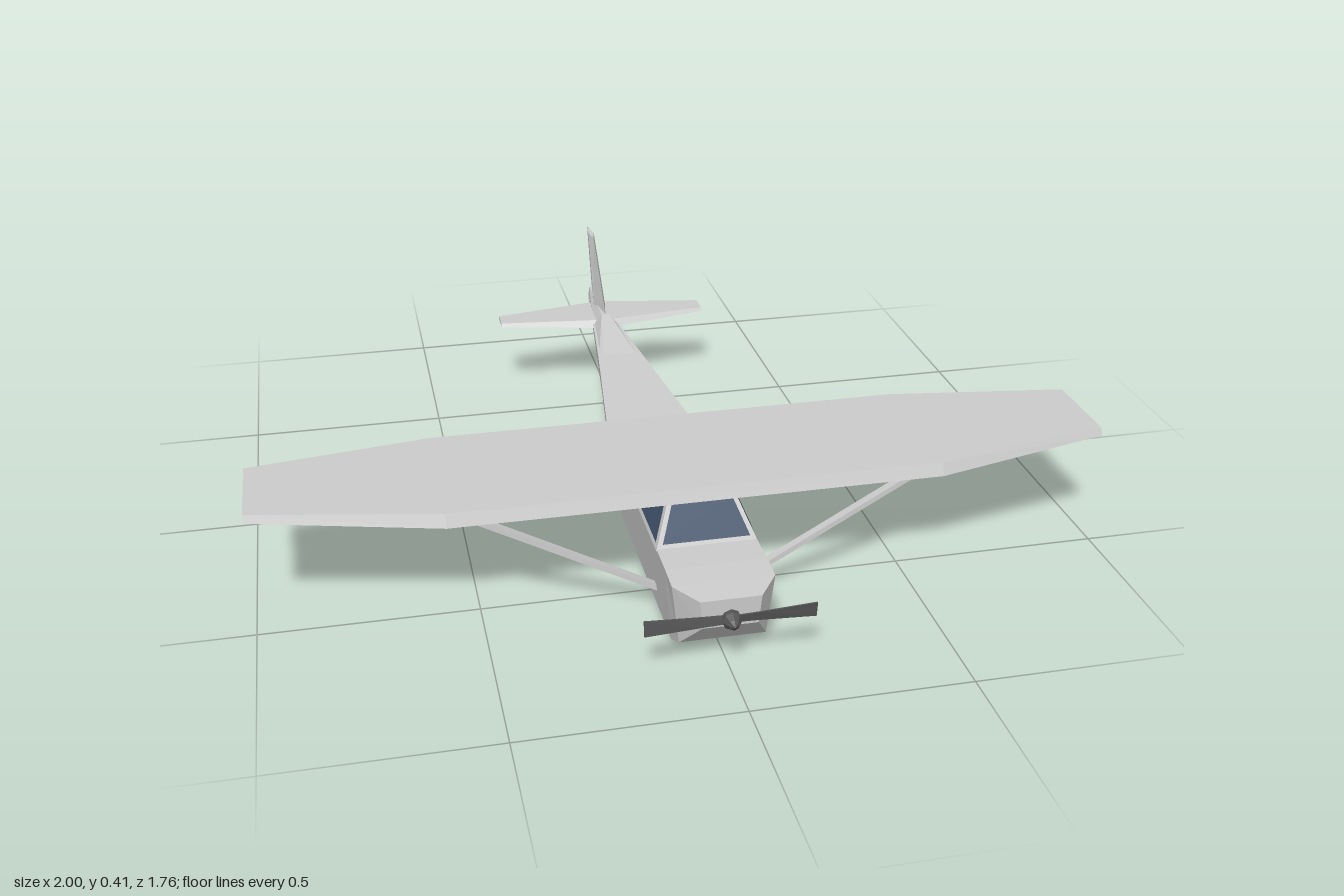
import * as THREE from 'three';

const grey = new THREE.MeshStandardMaterial({ color: 0xcccccc, flatShading: true });
const dark = new THREE.MeshStandardMaterial({ color: 0x555555, flatShading: true });
const glass = new THREE.MeshStandardMaterial({ color: 0x40526a, flatShading: true, side: THREE.DoubleSide });

function makeMesh(name, pos, material) {
  const g = new THREE.BufferGeometry();
  g.setAttribute('position', new THREE.Float32BufferAttribute(pos, 3));
  g.computeVertexNormals();
  const m = new THREE.Mesh(g, material);
  m.name = name;
  return m;
}

// Closed faceted skin through rings of [x, y, z]; rings run counter-clockwise seen from the far end
function loft(name, rings, material = grey) {
  const pos = [];
  const tri = (a, b, c) => pos.push(...a, ...b, ...c);
  const n = rings[0].length;
  for (let i = 0; i < rings.length - 1; i++) {
    const [r, s] = [rings[i], rings[i + 1]];
    for (let j = 0; j < n; j++) {
      const k = (j + 1) % n;
      tri(r[j], r[k], s[k]);
      tri(r[j], s[k], s[j]);
    }
  }
  const [first, last] = [rings[0], rings[rings.length - 1]];
  for (let j = 1; j < n - 1; j++) {
    tri(first[0], first[j + 1], first[j]);
    tri(last[0], last[j], last[j + 1]);
  }
  return makeMesh(name, pos, material);
}

// Four-cornered pane
const pane = (name, [a, b, c, d]) => makeMesh(name, [...a, ...b, ...c, ...a, ...c, ...d], glass);

// Trapezoid ring across the body
const bodyRing = ([z, top, bottom, wTop, wBottom]) =>
  [[-wBottom, bottom, z], [wBottom, bottom, z], [wTop, top, z], [-wTop, top, z]];

// Wing ring at x: trailing bottom, trailing top, leading top, leading bottom
const wingRing = ([x, y0, y1, zBack, zBackTop, zFrontTop, zFront]) =>
  [[x, y0, zBack], [x, y1, zBackTop], [x, y1, zFrontTop], [x, y0, zFront]];

// Rings for both sides, ordered from -x to +x
const bothSides = (rows) => [...rows.slice().reverse().map(([x, ...r]) => [-x, ...r]), ...rows];

export function createModel() {
  const plane = new THREE.Group();
  plane.name = 'airplane';

  // Fuselage from tail to nose
  plane.add(loft('fuselage', [
    [-0.81, 0.212, 0.2, 0.012, 0.01],
    [-0.385, 0.203, 0.085, 0.06, 0.05],
    [0.05, 0.183, 0, 0.115, 0.1],
    [0.71, 0.183, 0, 0.115, 0.1],
    [0.775, 0.18, 0.035, 0.115, 0.098],
    [0.84, 0.175, 0.108, 0.068, 0.062],
  ].map(bodyRing)));

  // Raised spine leading into the fin
  plane.add(loft('dorsalSpine', [
    [-0.81, 0.238, 0.205, 0.008, 0.012],
    [-0.59, 0.237, 0.2, 0.012, 0.036],
    [-0.385, 0.203, 0.195, 0.045, 0.058],
  ].map(bodyRing)));

  // Cabin with sloping sides, windshield and back panel
  const wallX = (y) => 0.115 - 0.4 * (y - 0.183);
  const frontZ = (y) => 0.625 - 0.6 * (y - 0.183);
  const backZ = (y) => 0.05 + 1.4 * (y - 0.183);
  plane.add(loft('cabin', [0.18, 0.285].map((y) => {
    const x = wallX(y);
    return [[x, y, frontZ(y)], [x, y, backZ(y)], [-x, y, backZ(y)], [-x, y, frontZ(y)]];
  })));

  // Windows, just proud of the cabin walls
  const lo = 0.192, hi = 0.262, gap = 0.002;
  const shield = (y, s) => [s * (wallX(y) - 0.011), y, frontZ(y) + gap];
  plane.add(pane('windshield', [shield(lo, -1), shield(lo, 1), shield(0.278, 1), shield(0.278, -1)]));
  for (const s of [1, -1]) {
    const side = s > 0 ? 'left' : 'right';
    const at = (y, z) => [s * (wallX(y) + gap), y, z];
    plane.add(pane(side + 'FrontWindow',
      [at(lo, frontZ(lo) - 0.012), at(lo, 0.385), at(hi, 0.385), at(hi, frontZ(hi) - 0.012)]));
    plane.add(pane(side + 'RearWindow',
      [at(lo, 0.355), at(lo, backZ(lo) + 0.012), at(hi, backZ(hi) + 0.012), at(hi, 0.355)]));
  }

  // Main wing and tailplane
  plane.add(loft('wing', bothSides([
    [0.57, 0.267, 0.297, 0.165, 0.2, 0.567, 0.58],
    [1, 0.285, 0.302, 0.25, 0.273, 0.49, 0.498],
  ]).map(wingRing)));
  plane.add(loft('tailplane', bothSides([
    [0.005, 0.198, 0.217, -0.755, -0.74, -0.6, -0.585],
    [0.295, 0.203, 0.212, -0.705, -0.7, -0.645, -0.637],
  ]).map(wingRing)));

  // Swept fin with a kite-shaped section
  plane.add(loft('fin', [
    [0.215, -0.57, -0.68, -0.805, 0.017],
    [0.405, -0.775, -0.81, -0.88, 0.008],
  ].map(([y, front, mid, back, t]) => [[0, y, front], [t, y, mid], [0, y, back], [-t, y, mid]])));

  // Wing struts
  for (const s of [1, -1]) {
    const from = new THREE.Vector3(s * 0.1, 0.05, 0.567);
    const to = new THREE.Vector3(s * 0.535, 0.275, 0.54);
    const strut = new THREE.Mesh(new THREE.BoxGeometry(0.012, from.distanceTo(to), 0.022), grey);
    strut.name = s > 0 ? 'leftStrut' : 'rightStrut';
    strut.position.copy(from).lerp(to, 0.5);
    strut.quaternion.setFromUnitVectors(new THREE.Vector3(0, 1, 0), to.clone().sub(from).normalize());
    plane.add(strut);
  }

  // Propeller: two twisted blades and a pointed hub
  const propeller = new THREE.Group();
  propeller.name = 'propeller';
  propeller.position.set(0, 0.127, 0.845);
  for (const turn of [0, Math.PI]) {
    const blade = loft('blade', [[0, 0.009], [0.06, 0.011], [0.19, 0.018]].map(([x, h]) =>
      [[x, -h, -0.005], [x, h, -0.001], [x, h, 0.003], [x, -h, -0.001]]), dark);
    blade.rotation.z = turn;
    propeller.add(blade);
  }
  const hub = new THREE.Mesh(new THREE.LatheGeometry(
    [[0, -0.01], [0.022, -0.01], [0.022, 0.008], [0.013, 0.024], [0, 0.035]]
      .map(([r, y]) => new THREE.Vector2(r, y)), 8), dark);
  hub.name = 'spinner';
  hub.rotation.x = Math.PI / 2;
  propeller.add(hub);
  plane.add(propeller);

  return plane;
}
